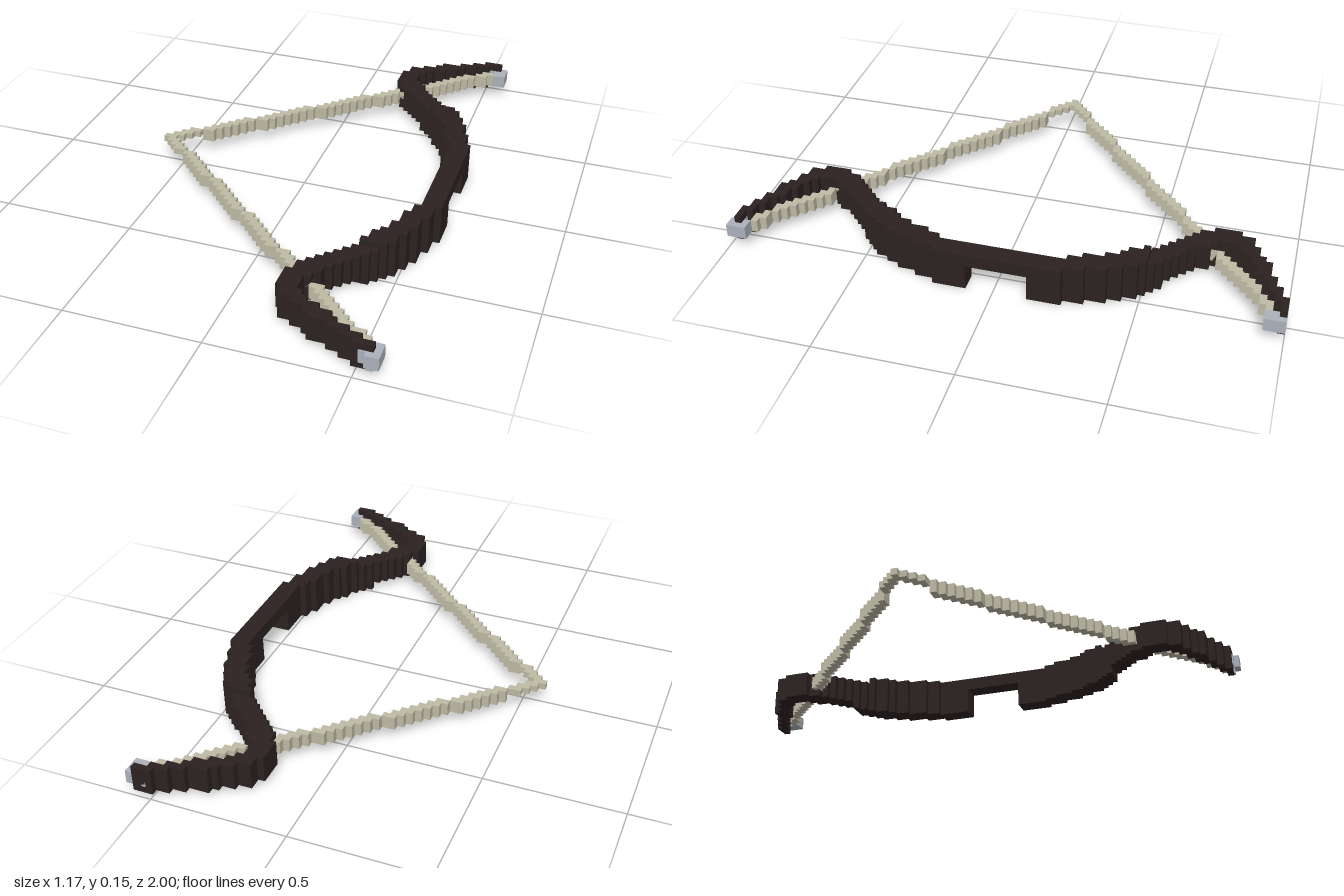
import * as THREE from 'three';
import { mergeGeometries } from 'three/addons/utils/BufferGeometryUtils.js';

const V = 2 / 82;          // cell size
const X0 = -24 * V;        // left edge of the cell grid
const MID = 40;            // row the bow is mirrored about
const snap = (x) => Math.round((x - X0) / V);

// Limb outline: distance from the grip, inner x, outer x
const LIMB = [
  [0, 0.51, 0.585], [0.21, 0.51, 0.585], [0.26, 0.485, 0.56], [0.34, 0.46, 0.535],
  [0.41, 0.415, 0.51], [0.46, 0.385, 0.49], [0.51, 0.335, 0.44], [0.57, 0.285, 0.385],
  [0.62, 0.245, 0.33], [0.67, 0.195, 0.29], [0.70, 0.17, 0.27], [0.74, 0.17, 0.25],
  [0.79, 0.17, 0.245], [0.83, 0.205, 0.29], [0.87, 0.27, 0.365], [0.91, 0.34, 0.43],
  [0.94, 0.41, 0.51], [0.98, 0.51, 0.56],
];

function limbAt(d) {
  const i = Math.max(1, LIMB.findIndex((p) => p[0] >= d));
  const a = LIMB[i - 1], b = LIMB[i];
  const t = (d - a[0]) / (b[0] - a[0]);
  return [1, 2].map((c) => snap(THREE.MathUtils.lerp(a[c], b[c], t)));
}

// Box covering a range of cells on each axis
function cells(x1, x2, y1, y2, z1, z2) {
  return new THREE.BoxGeometry((x2 - x1) * V, (y2 - y1) * V, (z2 - z1) * V).translate(
    X0 + ((x1 + x2) / 2) * V, ((y1 + y2) / 2) * V, -1 + ((z1 + z2) / 2) * V);
}

export function createModel() {
  const group = new THREE.Group();
  const mat = (name, color) => {
    const m = new THREE.MeshStandardMaterial({ color });
    m.name = name;
    return m;
  };
  const wood = mat('dark wood', 0x2c2121);
  const cord = mat('pale cord', 0xbebaa5);
  const metal = mat('grey metal', 0xabb1bc);
  const add = (name, boxes, material) => {
    const mesh = new THREE.Mesh(mergeGeometries(boxes), material);
    mesh.name = name;
    group.add(mesh);
  };

  const grip = [], limbs = { backLimb: [], frontLimb: [] };
  const strings = { backString: [], frontString: [] };
  for (let k = 0; k <= 80; k++) {
    const n = Math.abs(k - MID), d = n * V, side = k < MID ? 'back' : 'front';

    // Bow: thin at the grip, tall along the belly, slimmer towards the tips
    const [a, b] = limbAt(d);
    if (n <= 4) grip.push(cells(a, b, 4, 6, k, k + 1));
    else {
      const top = n <= 20 ? 6 : 5, bottom = n <= 22 ? 0 : 1;
      limbs[side + 'Limb'].push(cells(a, b, bottom, top, k, k + 1));
    }

    // Drawn string: stepped diagonal, one cell high near the nocking point
    if (n <= 38) {
      const x = snap(-0.585 + 1.15 * d);
      strings[side + 'String'].push(cells(x, x + 2, x < 5 ? 3 : 2, 4, k, k + 1));
    }
  }
  add('grip', grip, wood);
  for (const name in limbs) add(name, limbs[name], wood);
  for (const name in strings) add(name, strings[name], cord);

  // Metal tips with a small lower knob
  add('backTip', [cells(46, 48, 2, 4, 0, 3), cells(45, 46, 2, 4, 0, 1)], metal);
  add('frontTip', [cells(46, 48, 2, 4, 79, 82), cells(45, 46, 2, 4, 80, 81.2),
    cells(46, 47, 1, 2, 80, 81.2)], metal);
  return group;
}
